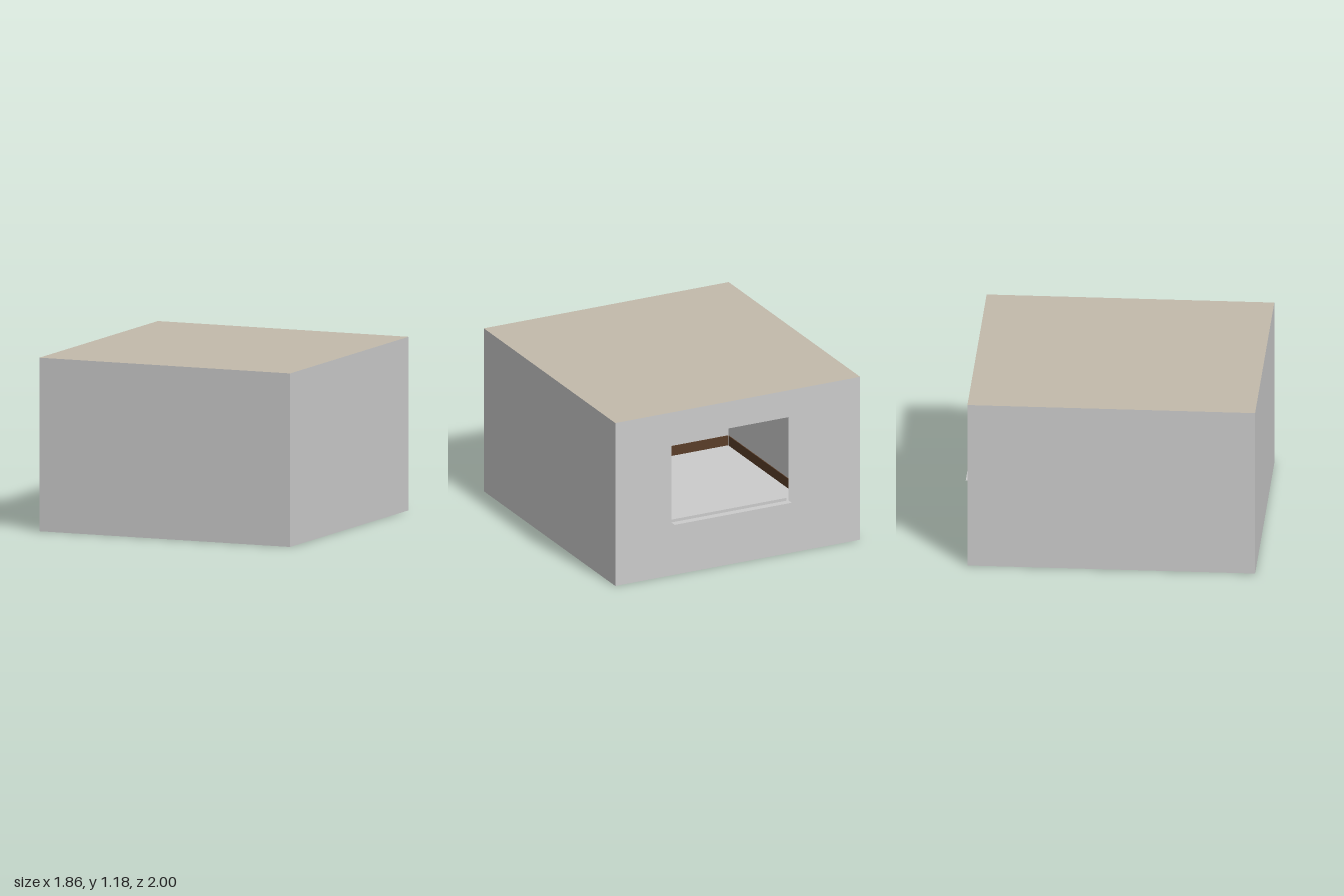
import * as THREE from 'three';

const W = 1.86, H = 1.185, Z0 = -0.95, Z1 = 1, D = Z1 - Z0, ZC = (Z0 + Z1) / 2;
const mat = (color) => new THREE.MeshStandardMaterial({ color, side: THREE.DoubleSide });
const grey = mat(0xcccccc), tan = mat(0xc2baab), brown = mat(0x5a3d28);

function add(parent, name, geometry, material, x = 0, y = 0, z = 0) {
  const mesh = new THREE.Mesh(geometry, material);
  mesh.name = name;
  mesh.position.set(x, y, z);
  parent.add(mesh);
  return mesh;
}

export function createModel() {
  const room = new THREE.Group();
  room.name = 'room';

  // floor and ceiling sheets
  add(room, 'floor', new THREE.PlaneGeometry(W, D).rotateX(-Math.PI / 2), grey, 0, 0, ZC);
  add(room, 'ceiling', new THREE.PlaneGeometry(W, D).rotateX(-Math.PI / 2), tan, 0, H, ZC);

  // solid walls
  add(room, 'frontWall', new THREE.PlaneGeometry(W, H), grey, 0, H / 2, Z1);
  for (const s of [-1, 1]) {
    add(room, s > 0 ? 'leftWall' : 'rightWall',
      new THREE.PlaneGeometry(D, H).rotateY(s * Math.PI / 2), grey, s * W / 2, H / 2, ZC);
  }

  // back wall with the window opening
  const x0 = -0.385, x1 = 0.505, y0 = 0.385, y1 = 0.99;
  const wall = new THREE.Shape([
    new THREE.Vector2(-W / 2, 0), new THREE.Vector2(W / 2, 0),
    new THREE.Vector2(W / 2, H), new THREE.Vector2(-W / 2, H),
  ]);
  wall.holes.push(new THREE.Path([
    new THREE.Vector2(x0, y0), new THREE.Vector2(x0, y1),
    new THREE.Vector2(x1, y1), new THREE.Vector2(x1, y0),
  ]));
  add(room, 'backWall', new THREE.ShapeGeometry(wall), grey, 0, 0, Z0);

  // thin sill projecting outside
  add(room, 'windowSill', new THREE.PlaneGeometry(x1 - x0, 0.05).rotateX(-Math.PI / 2),
    grey, (x0 + x1) / 2, y0, Z0 - 0.025);

  // skirting boards along the inside of the walls
  const sh = 0.07, st = 0.006, gap = 0.002;
  for (const s of [-1, 1]) {
    add(room, 'sideSkirting', new THREE.BoxGeometry(st, sh, D - 0.02), brown,
      s * (W / 2 - st / 2 - gap), sh / 2 + gap, ZC);
    add(room, 'endSkirting', new THREE.BoxGeometry(W - 0.02, sh, st), brown,
      0, sh / 2 + gap, ZC + s * (D / 2 - st / 2 - gap));
  }

  // low desk beneath the window
  const desk = new THREE.Group();
  desk.name = 'desk';
  desk.position.set(0, 0, -0.615);
  room.add(desk);
  add(desk, 'deskTop', new THREE.BoxGeometry(0.91, 0.022, 0.345), grey, 0, 0.322, 0);
  add(desk, 'deskApron', new THREE.BoxGeometry(0.84, 0.035, 0.285), grey, 0, 0.2935, 0);
  for (const sx of [-1, 1]) for (const sz of [-1, 1]) {
    add(desk, 'deskLeg', new THREE.CylinderGeometry(0.015, 0.012, 0.309, 12), grey,
      sx * 0.42, 0.1565, sz * 0.138);
  }
  return room;
}
